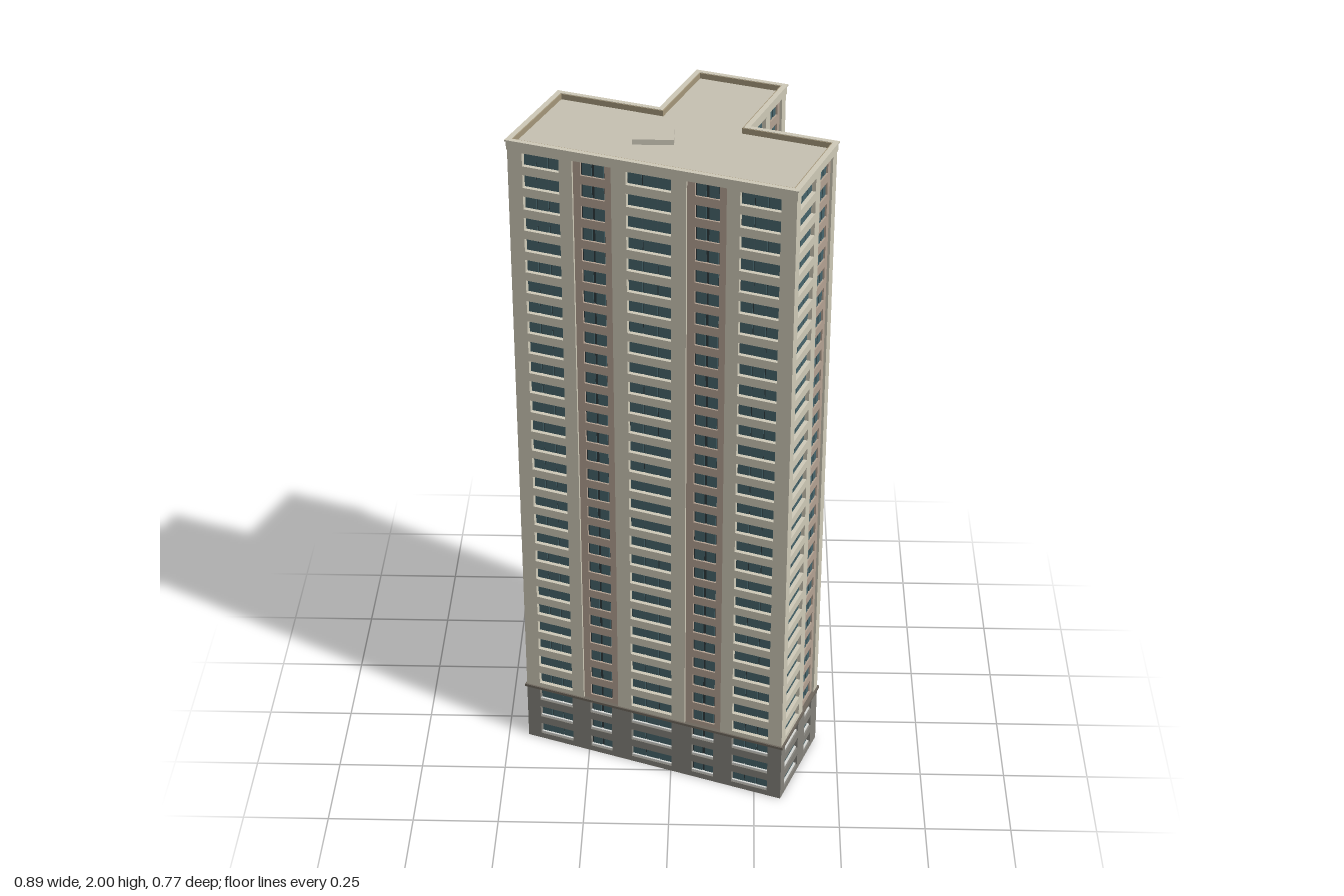
import * as THREE from 'three';
import { mergeGeometries } from 'three/addons/utils/BufferGeometryUtils.js';

const mat = (name, color, side = THREE.FrontSide) => {
  const m = new THREE.MeshStandardMaterial({ color, side });
  m.name = name;
  return m;
};

// Main dimensions
const FLOOR = 0.0637, FIRST = 0.037, FLOORS = 31, BASE_FLOORS = 3;
const WIN_H = 0.038, BASE_TOP = 0.19, WALL_TOP = 1.972, TOP = 2;
const DEPTH = 0.014;

// Footprint in the tower's own axes [u, v], walked with the outside on the right
const PLAN = [
  [-0.381, 0.236], [0.438, 0.236], [0.438, -0.08], [0.186, -0.08],
  [0.186, -0.378], [-0.078, -0.378], [-0.078, -0.103], [-0.381, -0.103],
];

// Bays as fractions of wall length: cream edges and window edges
const SHORT = [
  { from: 0, to: 0.58, win: [0.1, 0.47], panes: 3 },
  { from: 0.58, to: 0.9, win: [0.65, 0.84], panes: 2, recessed: true },
  { from: 0.9, to: 1 },
];
const LONG = [
  { from: 0, to: 0.229, win: [0.052, 0.183], panes: 3 },
  { from: 0.229, to: 0.366, win: [0.255, 0.34], panes: 2, recessed: true },
  { from: 0.366, to: 0.627, win: [0.418, 0.575], panes: 3 },
  { from: 0.627, to: 0.765, win: [0.654, 0.739], panes: 2, recessed: true },
  { from: 0.765, to: 1, win: [0.81, 0.948], panes: 3 },
];

// Offset the right-angled footprint outwards (negative = inwards)
function offsetPlan(d) {
  const n = PLAN.length;
  const normal = (a, b) => {
    const l = Math.hypot(b[0] - a[0], b[1] - a[1]);
    return [-(b[1] - a[1]) / l, (b[0] - a[0]) / l];
  };
  return PLAN.map((p, i) => {
    const n1 = normal(PLAN[(i + n - 1) % n], p), n2 = normal(p, PLAN[(i + 1) % n]);
    return new THREE.Vector2(p[0] + d * (n1[0] + n2[0]), -(p[1] + d * (n1[1] + n2[1])));
  });
}

// Footprint slab between two heights, optionally hollow
function slab(offset, y0, y1, inner) {
  const shape = new THREE.Shape(offsetPlan(offset));
  if (inner !== undefined) shape.holes.push(new THREE.Path(offsetPlan(inner)));
  const g = new THREE.ExtrudeGeometry(shape, { depth: y1 - y0, bevelEnabled: false });
  return g.rotateX(-Math.PI / 2).translate(0, y0, 0);
}

const rect = (Type, x0, y0, x1, y1) => new Type([
  new THREE.Vector2(x0, y0), new THREE.Vector2(x1, y0),
  new THREE.Vector2(x1, y1), new THREE.Vector2(x0, y1),
]);

// Wall panel with a window opening on each given floor
function panel(x0, x1, y0, y1, wins, f0, f1, depth) {
  const shape = rect(THREE.Shape, x0, y0, x1, y1);
  for (const [a, b] of wins) {
    for (let f = f0; f < f1; f++) {
      const y = FIRST + f * FLOOR;
      shape.holes.push(rect(THREE.Path, a, y - WIN_H / 2, b, y + WIN_H / 2));
    }
  }
  const g = new THREE.ExtrudeGeometry(shape, { depth, bevelEnabled: false });
  return g.translate(0, 0, -DEPTH);
}

export function createModel() {
  const model = new THREE.Group();
  model.name = 'apartmentTower';
  const M = {
    cream: mat('cream wall', 0xd0cbb9),
    strip: mat('taupe strip', 0xb5a393),
    base: mat('grey base', 0x85837c),
    glass: mat('teal glass', 0x47656c),
    frame: mat('dark frame', 0x2c383c),
    ledge: mat('ledge brown', 0x6f685e),
    lining: mat('tan lining', 0xa5977a),
    roof: mat('roof', 0xc7c2b3),
    sill: mat('white sill', 0xd9dad6),
  };
  const tower = new THREE.Group();
  tower.name = 'tower';
  tower.rotation.y = -THREE.MathUtils.degToRad(20.5);
  model.add(tower);

  const add = (parent, name, geometry, material) => {
    const mesh = new THREE.Mesh(geometry, material);
    mesh.name = name;
    parent.add(mesh);
    return mesh;
  };

  // Core behind the windows, ground slab, ledge and roof
  add(tower, 'core', slab(-DEPTH, 0.004, WALL_TOP), M.frame);
  add(tower, 'groundSlab', slab(-0.001, 0, 0.006), M.base);
  add(tower, 'baseLedge', slab(0.005, 0.187, 0.195), M.ledge);
  add(tower, 'roofDeck', slab(-0.001, WALL_TOP, 1.983), M.roof);
  add(tower, 'parapet', slab(0.002, WALL_TOP, TOP - 0.004, -0.01), M.cream);
  add(tower, 'parapetCap', slab(0.005, TOP - 0.004, TOP, -0.01), M.cream);
  add(tower, 'parapetLining', slab(-0.01, 1.98, TOP - 0.001, -0.013), M.lining);

  // Facades
  PLAN.forEach((p, i) => {
    const q = PLAN[(i + 1) % PLAN.length];
    const du = q[0] - p[0], dv = q[1] - p[1], L = Math.hypot(du, dv);
    const wall = new THREE.Group();
    wall.name = `facade${i + 1}`;
    wall.position.set(p[0], 0, p[1]);
    wall.rotation.y = Math.atan2(-dv, du);
    tower.add(wall);

    const bays = i === 0 ? LONG : SHORT;
    const wins = bays.filter((b) => b.win).map((b) => b.win.map((t) => t * L));
    add(wall, 'baseWall', panel(0, L, 0, BASE_TOP, wins, 0, BASE_FLOORS, DEPTH), M.base);

    const panes = [], sills = [];
    for (const bay of bays) {
      const win = bay.win ? [bay.win.map((t) => t * L)] : [];
      add(wall, bay.recessed ? 'recessedStrip' : 'wallBay',
        panel(bay.from * L, bay.to * L, BASE_TOP, WALL_TOP, win, BASE_FLOORS, FLOORS,
          bay.recessed ? DEPTH - 0.007 : DEPTH),
        bay.recessed ? M.strip : M.cream);
      if (!bay.win) continue;

      // Glass panes, leaving the dark core visible as mullions
      const [a, b] = win[0], w = (b - a) / bay.panes;
      const gap = bay.panes === 2 ? 0.008 : 0.003;
      for (let f = 0; f < FLOORS; f++) {
        const y = FIRST + f * FLOOR;
        for (let k = 0; k < bay.panes; k++) {
          panes.push(new THREE.BoxGeometry(w - gap, WIN_H - 0.002, 0.003)
            .translate(a + (k + 0.5) * w, y, -DEPTH + 0.0015));
        }
        if (f < BASE_FLOORS) {
          sills.push(new THREE.BoxGeometry(b - a, 0.005, 0.008)
            .translate((a + b) / 2, y - WIN_H / 2 + 0.0025, -DEPTH + 0.005));
        }
      }
    }
    add(wall, 'windowPanes', mergeGeometries(panes), M.glass);
    add(wall, 'baseSills', mergeGeometries(sills), M.sill);
  });

  // Roof hatch, square to the model's axes
  const hatch = add(model, 'roofHatch', new THREE.BoxGeometry(0.112, 0.016, 0.08), M.roof);
  hatch.position.set(-0.051, 1.99, 0.035);
  return model;
}
